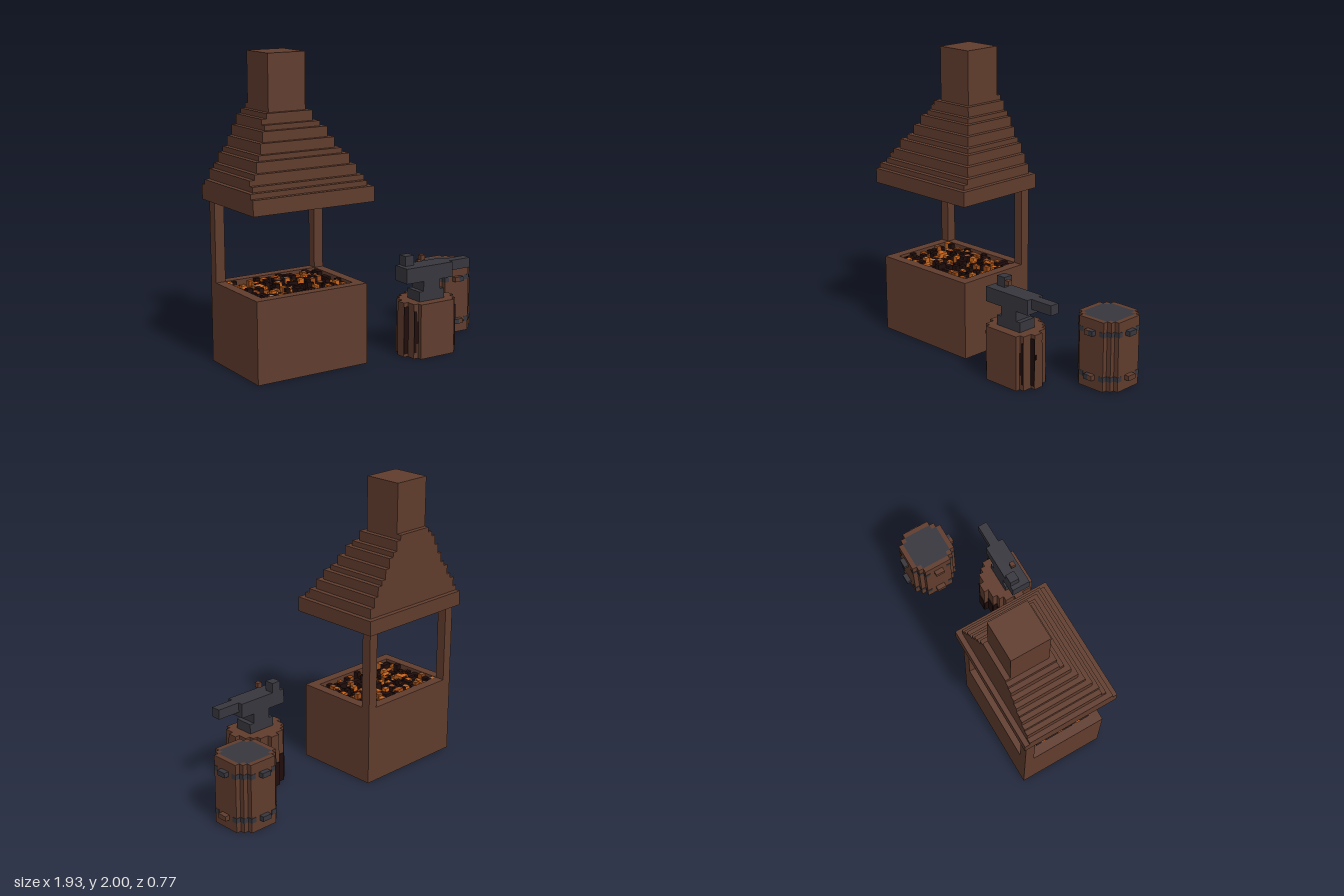
import * as THREE from 'three';
import { mergeGeometries } from 'three/addons/utils/BufferGeometryUtils.js';

const mat = (name, color, side = THREE.FrontSide) => {
  const m = new THREE.MeshStandardMaterial({ color, side });
  m.name = name;
  return m;
};

export function createModel() {
  const brown = mat('brown wood and brick', 0x603c2d, THREE.DoubleSide);
  const iron = mat('dark iron', 0x37363d);
  const char = mat('charred black', 0x1f0d0c, THREE.DoubleSide);
  const ember = mat('glowing ember', 0xcb661d);
  const emberDark = mat('dim ember', 0x9c4a16);

  // everything is laid out in blocks; 60 blocks are 2 units
  const model = new THREE.Group();
  model.name = 'smithy';
  const group = (name) => {
    const g = new THREE.Group();
    g.name = name;
    model.add(g);
    return g;
  };
  const add = (parent, name, geo, material) => {
    const m = new THREE.Mesh(geo, material);
    m.name = name;
    parent.add(m);
  };
  const boxGeo = (x0, x1, y0, y1, z0, z1) =>
    new THREE.BoxGeometry(x1 - x0, y1 - y0, z1 - z0)
      .translate((x0 + x1) / 2, (y0 + y1) / 2, (z0 + z1) / 2);
  const box = (parent, name, material, ...b) => add(parent, name, boxGeo(...b), material);

  // upright walls along a closed outline of [x, z] points
  const walls = (pts, y0, y1) => {
    const p = [];
    pts.forEach(([ax, az], i) => {
      const [bx, bz] = pts[(i + 1) % pts.length];
      p.push(ax, y0, az, ax, y1, az, bx, y1, bz, ax, y0, az, bx, y1, bz, bx, y0, bz);
    });
    const g = new THREE.BufferGeometry();
    g.setAttribute('position', new THREE.Float32BufferAttribute(p, 3));
    g.computeVertexNormals();
    return g;
  };
  // flat face at height y, with an optional hole
  const cap = (pts, y, hole) => {
    const v = (a) => a.map(([x, z]) => new THREE.Vector2(x, -z));
    const s = new THREE.Shape(v(pts));
    if (hole) s.holes.push(new THREE.Path(v(hole)));
    return new THREE.ShapeGeometry(s).rotateX(-Math.PI / 2).translate(0, y, 0);
  };
  const rect = (x0, x1, z0, z1) => [[x1, z0], [x1, z1], [x0, z1], [x0, z0]];
  // stepped outline from rows of [z0, z1, left, right]
  const outline = (rows) => [
    ...rows.flatMap(([z0, z1, , r]) => [[r, z0], [r, z1]]),
    ...[...rows].reverse().flatMap(([z0, z1, l]) => [[l, z1], [l, z0]]),
  ];

  // forge: open-bottomed hearth with a sunken pit
  const forge = group('forge');
  const outer = rect(-28, -4, -10.5, 7.5);
  const pit = rect(-26, -6, -8.5, 5.5);
  add(forge, 'hearthWalls', walls(outer, 0, 16), brown);
  add(forge, 'hearthRim', cap(outer, 16, pit), brown);
  add(forge, 'pitWalls', walls([...pit].reverse(), 14, 16), brown);
  add(forge, 'coalBed', cap(pit, 14), char);

  // coals of mixed height and colour
  let seed = 7;
  const rand = () => (seed = (seed * 16807) % 2147483647) / 2147483647;
  const heaps = [[], [], []];
  for (let x = -26; x < -6; x++) {
    for (let z = -8.5; z < 5.5; z++) {
      const edge = Math.min(x + 26, -7 - x, z + 8.5, 4.5 - z) < 2;
      const r = rand() + (edge ? 0.2 : 0);
      const kind = r < 0.38 ? 0 : r < 0.58 ? 1 : 2;
      heaps[kind].push(boxGeo(x, x + 1, 14, 14.4 + Math.floor(rand() * 4) * 0.5, z, z + 1));
    }
  }
  [['brightCoals', ember], ['dimCoals', emberDark], ['blackCoals', char]].forEach(([n, m], i) =>
    add(forge, n, mergeGeometries(heaps[i]), m));

  for (const x of [-28, -6]) box(forge, 'post', brown, x, x + 2, 16, 32, -10.5, -8.5);

  // stepped hood: y0, y1, left, right, front
  box(forge, 'hoodEaves', brown, -29, -3, 32, 35, -11.5, 8.5);
  [
    [35, 36, -29, -4, 7.5], [36, 37, -28, -4, 6.5], [37, 38, -28, -5, 5.5],
    [38, 39, -27, -5, 5.5], [39, 41, -26, -6, 4.5], [41, 42, -25, -7, 3.5],
    [42, 44, -24, -8, 2.5], [44, 46, -23, -9, 1.5], [46, 47, -22, -10, 0.5],
    [47, 48, -22, -11, -0.5], [48, 49, -21, -11, -0.5], [49, 50, -20, -12, -9.5],
  ].forEach(([y0, y1, l, r, f]) => box(forge, 'hoodStep', brown, l, r, y0, y1, -10.5, f));
  box(forge, 'chimney', brown, -20, -12, 49, 60, -9.5, -1.5);

  // stump under the anvil
  const stump = group('stump');
  const stumpRows = [
    [1.5, 2.5, 9, 11], [2.5, 3.5, 7, 13], [3.5, 4.5, 6, 14], [4.5, 6.5, 5, 15],
    [6.5, 8.5, 4, 16], [8.5, 10.5, 5, 15], [10.5, 11.5, 6, 14],
  ];
  const stumpLine = outline(stumpRows);
  add(stump, 'stumpSides', walls(stumpLine, 0, 11), brown);
  add(stump, 'stumpTop', cap(stumpLine, 11), brown);

  // burnt bark as thin plates on the steps, mirrored about x = 10
  const t = 0.12;
  const bark = [];
  const both = (x0, x1, ...b) =>
    bark.push(boxGeo(x0, x1, ...b), boxGeo(20 - x1, 20 - x0, ...b));
  both(15, 16, 0.6, 10.2, 8.5, 8.5 + t);
  both(14.4, 15, 1.2, 9.6, 10.5, 10.5 + t);
  both(14, 14.4, 3, 7.5, 10.5, 10.5 + t);
  [[15, 16, 6.5, 9], [14, 15, 4.5, 4], [13, 14, 3.5, 5], [11, 13, 2.5, 6], [10, 11, 1.5, 5]]
    .forEach(([x0, x1, z, h]) => both(x0, x1, 0, h, z - t, z));
  [[14, 3.5, 4.5, 3], [13, 2.5, 3.5, 6], [11, 1.5, 2.5, 4]]
    .forEach(([x, z0, z1, h]) => both(x, x + t, 0, h, z0, z1));
  bark.push(boxGeo(16, 16 + t, 6, 7, 8, 8.5));
  add(stump, 'burntBark', mergeGeometries(bark), char);

  // anvil
  const anvil = group('anvil');
  box(anvil, 'anvilFoot', iron, 7, 13, 11, 13, 5.5, 9.5);
  box(anvil, 'anvilWaist', iron, 8, 12, 13, 15, 5.5, 9.5);
  box(anvil, 'anvilBody', iron, 4, 15, 15, 18, 5.5, 9.5);
  box(anvil, 'anvilHorn', iron, 15, 20, 16, 18, 6.5, 8.5);
  box(anvil, 'hammerHead', iron, 5, 7, 18, 20, 5.5, 7.5);
  box(anvil, 'handlePiece', brown, 8, 9, 19, 20, 7.5, 8.5);

  // barrel
  const barrel = group('barrel');
  const barrelLine = outline([
    [-9.5, -8.5, 20, 26], [-8.5, -7.5, 19, 27], [-7.5, -1.5, 18, 28],
    [-1.5, -0.5, 19, 27], [-0.5, 0.5, 20, 26],
  ]);
  const lidLine = outline([
    [-8.5, -7.5, 20, 26], [-7.5, -1.5, 19, 27], [-1.5, -0.5, 20, 26],
  ]);
  add(barrel, 'barrelStaves', walls(barrelLine, 0, 14), brown);
  add(barrel, 'barrelRim', cap(barrelLine, 14, lidLine), brown);
  add(barrel, 'barrelLid', cap(lidLine, 14), iron);

  // hoops show on the stepped corners
  const hoops = [];
  for (const y of [2, 11]) {
    for (const sx of [-1, 1]) {
      for (const sz of [-1, 1]) {
        for (const [cx, cz] of [[3.5, 3.5], [4.5, 2.5], [2.5, 4.5]]) {
          const x = 23 + sx * cx, z = -4.5 + sz * cz, h = 0.5 + t / 2;
          hoops.push(boxGeo(x - h, x + h, y, y + 1, z - h, z + h));
        }
      }
    }
  }
  add(barrel, 'hoops', mergeGeometries(hoops), iron);

  // hoop lugs on the four sides
  [[2, iron, brown, brown], [11, brown, iron, iron]].forEach(([y, frontA, frontB, right]) => {
    box(barrel, 'frontLug', frontA, 22, 23, y, y + 1, 0.5, 1.5);
    box(barrel, 'frontLug', frontB, 23, 24, y, y + 1, 0.5, 1.5);
    box(barrel, 'backLug', iron, 22, 24, y, y + 1, -10.5, -9.5);
    box(barrel, 'sideLug', brown, 17, 18, y, y + 1, -5.5, -3.5);
    box(barrel, 'sideLug', right, 28, 29, y, y + 1, -5.5, -3.5);
  });

  model.scale.setScalar(1 / 30);
  return model;
}
